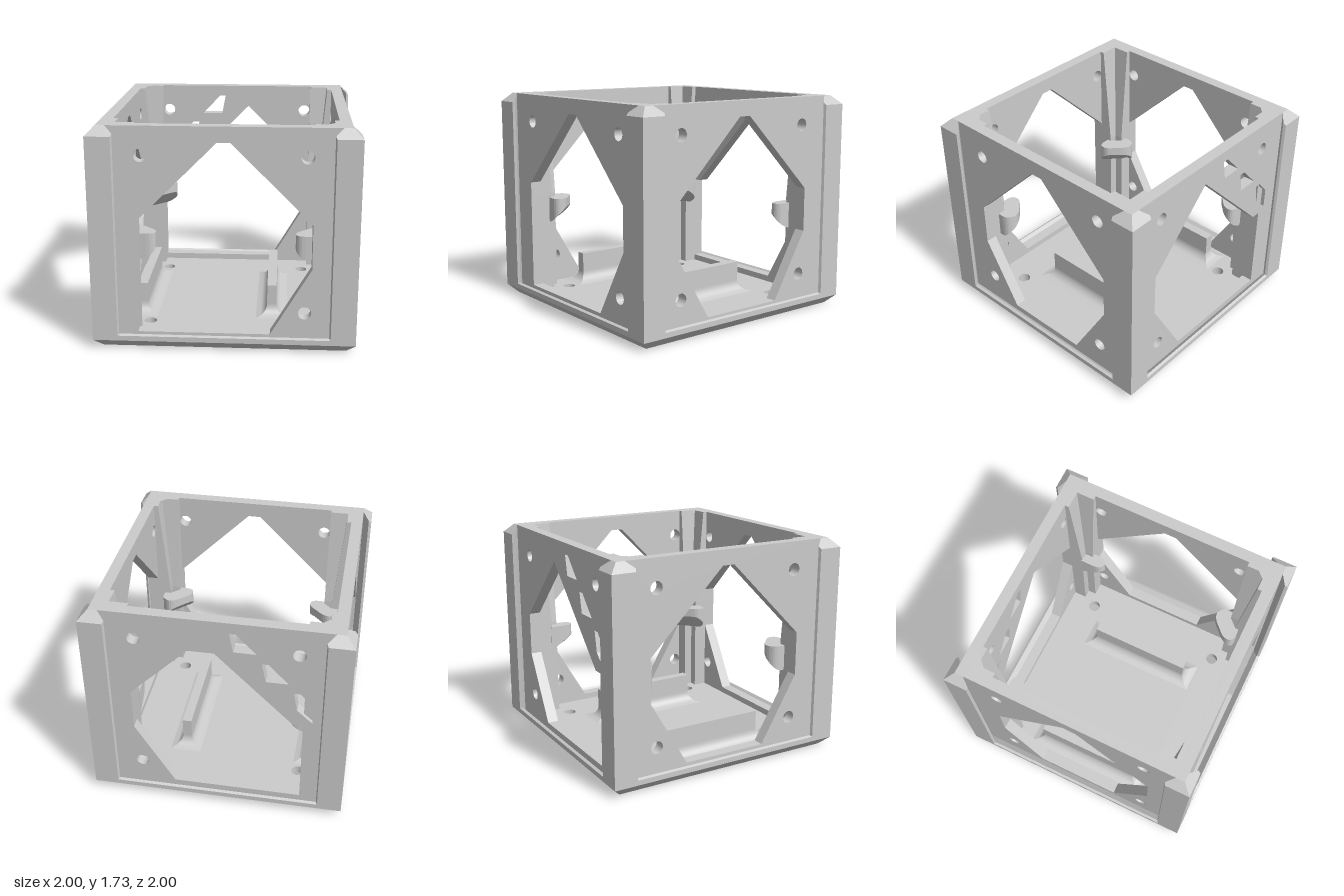
import * as THREE from 'three';

const MAT = new THREE.MeshStandardMaterial({ color: 0xcccccc });
const TOP = 1.73, SILL = 0.12, FLOOR = 0.07, IN = 0.93;

const v2 = (pts) => pts.map(([x, y]) => new THREE.Vector2(x, y));

function mesh(geo, name) {
  const m = new THREE.Mesh(geo, MAT);
  m.name = name;
  return m;
}

// Extrude a shape along its normal
function slab(pts, depth, holes = [], circles = []) {
  const s = new THREE.Shape(v2(pts));
  holes.forEach((h) => s.holes.push(new THREE.Path(v2(h))));
  circles.forEach(([x, y]) => s.holes.push(new THREE.Path().absarc(x, y, 0.05, 0, Math.PI * 2)));
  return new THREE.ExtrudeGeometry(s, { depth, bevelEnabled: false, curveSegments: 20 });
}

// Extrude an x/z outline upward from y0 to y1, then move vertices by a rule
function column(pts, y0, y1, rule, circles = []) {
  const g = slab(pts.map(([x, z]) => [x, -z]), y1 - y0, [], circles);
  g.rotateX(-Math.PI / 2).translate(0, y0, 0);
  if (rule) {
    const p = g.attributes.position, v = new THREE.Vector3();
    for (let i = 0; i < p.count; i++) {
      rule(v.fromBufferAttribute(p, i));
      p.setXYZ(i, v.x, v.y, v.z);
    }
    g.computeVertexNormals();
  }
  return g;
}

const square = (h) => [[-h, -h], [h, -h], [h, h], [-h, h]];

// Smooth outline through a few points
const smooth = (pts) => new THREE.SplineCurve(v2(pts)).getPoints(28).map((p) => [p.x, p.y]);

// Floor rib with a concave fillet round its foot
function rib(x) {
  const h = 0.25, r = 0.09, g = new THREE.BoxGeometry(0.075, h, 0.87, 1, 25, 1);
  const p = g.attributes.position;
  for (let i = 0; i < p.count; i++) {
    const t = THREE.MathUtils.clamp(p.getY(i) + h / 2, 0, r);
    const d = r - Math.sqrt(Math.max(0, r * r - (r - t) ** 2));
    p.setX(i, p.getX(i) + Math.sign(p.getX(i)) * d);
    p.setZ(i, p.getZ(i) + Math.sign(p.getZ(i)) * d);
  }
  g.computeVertexNormals();
  g.translate(x, FLOOR + h / 2, 0);
  return mesh(g, 'floorRib');
}

export function createModel() {
  const root = new THREE.Group();
  root.name = 'boxFrame';

  // Base plate with chamfered underside and four screw holes
  const c = 0.61;
  root.add(mesh(column(square(1), 0, FLOOR, (v) => {
    if (v.y < 0.01 && Math.max(Math.abs(v.x), Math.abs(v.z)) > 0.9) {
      v.x *= IN;
      v.z *= IN;
    }
  }, [[c, c], [-c, c], [c, -c], [-c, -c]]), 'basePlate'));

  // Undercut lips along the base edges
  for (let i = 0; i < 4; i++) {
    const g = slab([[1, FLOOR], [1, 0.11], [0.98, SILL], [IN, FLOOR]], 1.7);
    g.translate(0, 0, -0.85).rotateY(i * Math.PI / 2);
    root.add(mesh(g, 'baseLip'));
  }

  // Wall panels with large window openings
  const outline = (w) => [[-w, FLOOR], [w, FLOOR], [w, TOP], [-w, TOP]];
  const rightEdge = [[0.66, 1], [0.66, 0.65], [0.35, SILL]];
  const frontWindow = [[-0.66, SILL], [-0.66, 1], [-0.05, 1.61], [0.05, 1.61], ...rightEdge];
  const backWindow = [[-0.66, SILL], [-0.66, 0.855], [-0.585, 0.855], [0.11, 1.55], ...rightEdge];
  const sideWindow = [[-0.35, SILL], [-0.66, 0.65], [-0.66, 1], [-0.05, 1.61], [0.05, 1.61], ...rightEdge];
  const strutGaps = [
    [[-0.13, 1.48], [-0.1, 1.64], [-0.15, 1.64], [-0.3, 1.48]],
    [[-0.37, 1.24], [-0.34, 1.4], [-0.39, 1.4], [-0.54, 1.24]],
    [[-0.61, 1.0], [-0.58, 1.16], [-0.63, 1.16], [-0.73, 1.05], [-0.73, 0.89]],
  ];
  const threeBolts = [[-c, 1.51], [c, 1.51], [c, 0.3]];
  const fourBolts = [...threeBolts, [-c, 0.3]];
  const t = 0.09;
  root.add(mesh(slab(outline(IN), t, [frontWindow], threeBolts).translate(0, 0, IN - t), 'frontWall'));
  root.add(mesh(slab(outline(IN), t, [backWindow, ...strutGaps], threeBolts).translate(0, 0, -IN), 'backWall'));
  for (const s of [1, -1]) {
    const g = slab(outline(0.84), t, [sideWindow], fourBolts).translate(0, 0, IN - t);
    root.add(mesh(g.rotateY(s * Math.PI / 2), s > 0 ? 'leftWall' : 'rightWall'));
  }

  // Corner parts, defined in the +x +z quadrant and mapped to all four
  const half = [[IN, IN], [1, 1], [0.81, 1], [0.8, 0.98], [0.86, IN]];
  const pillar = [[0.9, 0.9], [0.66, 0.9], [0.66, 0.73], [0.73, 0.73], [0.73, 0.66], [0.9, 0.66]];
  const bean = [...smooth([[0.66, 0.76], [0.58, 0.76], [0.54, 0.73], [0.545, 0.67], [0.6, 0.61], [0.66, 0.555],
    [0.715, 0.535], [0.765, 0.56], [0.785, 0.6], [0.785, 0.66]]), [0.73, 0.66], [0.66, 0.73]];
  const stub = [...smooth([[0.655, 0.74], [0.655, 0.6], [0.675, 0.55], [0.71, 0.535], [0.745, 0.555],
    [0.76, 0.6], [0.76, 0.74]])];
  for (const sx of [1, -1]) for (const sz of [1, -1]) {
    const map = (pts) => pts.map(([x, z]) => [x * sx, z * sz]);
    const corner = new THREE.Group();
    corner.name = 'corner';

    // Dovetail post in two mitred halves, tops chamfered
    const slope = (v) => {
      if (v.y > 1) v.y = TOP - (Math.max(Math.abs(v.x), Math.abs(v.z)) - IN);
    };
    corner.add(mesh(column(map(half), FLOOR, TOP, slope), 'cornerPost'));
    corner.add(mesh(column(map(half.map(([x, z]) => [z, x])), FLOOR, TOP, slope), 'cornerPost'));

    // Inner pillar, tapering toward the top
    const thin = (a) => (Math.abs(Math.abs(a) - 0.73) < 0.001 ? Math.sign(a) * 0.805 : a);
    corner.add(mesh(column(map(pillar), FLOOR, 0.88), 'pillarLower'));
    corner.add(mesh(column(map(pillar), 0.88, TOP, (v) => {
      if (v.y > 1) {
        v.x = thin(v.x);
        v.z = thin(v.z);
      }
    }), 'pillarUpper'));

    // Support hook with an underside that curves up away from the corner
    const hook = sx > 0 && sz < 0 ? stub : bean;
    corner.add(mesh(column(map(hook), 0.65, 0.855, (v) => {
      const d = Math.max(0, 1.4 - Math.abs(v.x) - Math.abs(v.z));
      if (v.y < 0.7) v.y = 0.65 + d * 0.45 + d * d * 1.2;
    }), 'supportHook'));
    root.add(corner);
  }

  // Floor ribs
  root.add(rib(-0.692), rib(0.357));
  return root;
}
